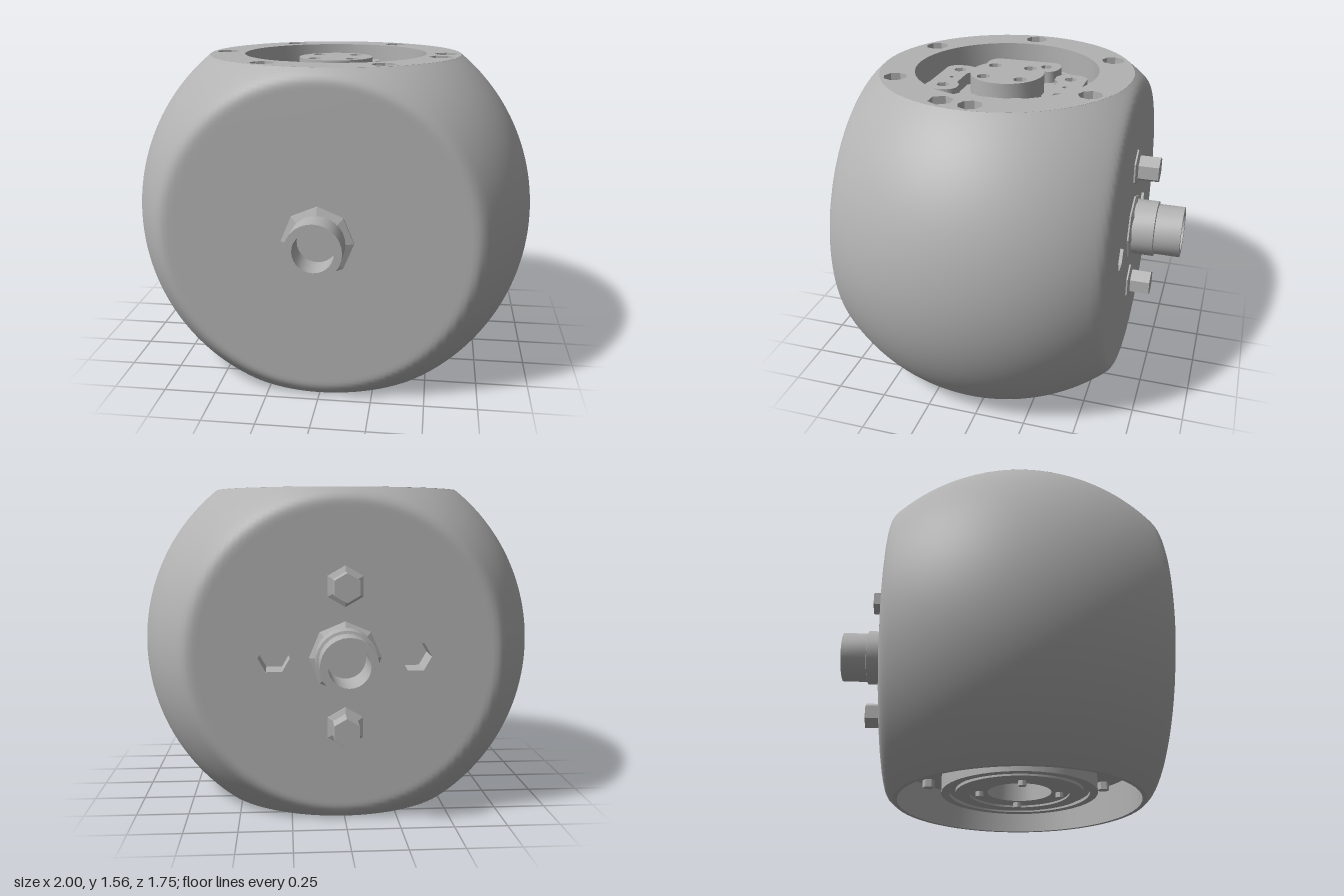
import * as THREE from 'three';
import { toCreasedNormals, mergeVertices } from 'three/addons/utils/BufferGeometryUtils.js';

const metal = new THREE.MeshStandardMaterial({ color: 0xb2b2b2, side: THREE.DoubleSide });
metal.name = 'grey metal';

const TOP = 0.78;    // half height between the top and bottom cuts
const FACE = 0.67;   // half depth between the front and back cuts
const FLOOR = 0.65;  // floor level of the top recess

function part(parent, name, geometry, crease = 0.6) {
  const mesh = new THREE.Mesh(crease ? toCreasedNormals(geometry, crease) : geometry, metal);
  mesh.name = name;
  parent.add(mesh);
  return mesh;
}

const lathe = (profile, sides) =>
  new THREE.LatheGeometry(profile.map(([r, h]) => new THREE.Vector2(r, h)), sides);

// Regular polygon outline; many sides make a circle
function ngon(x, y, r, sides, Type = THREE.Path) {
  const pts = [];
  for (let i = 0; i < sides; i++) {
    const a = (i / sides) * Math.PI * 2;
    pts.push(new THREE.Vector2(x + r * Math.cos(a), y + r * Math.sin(a)));
  }
  return new Type(pts);
}

// Upright extrusion from level y0 to y1 (shape y becomes -z)
function slab(shape, y0, y1) {
  const g = new THREE.ExtrudeGeometry(shape, { depth: y1 - y0, bevelEnabled: false, curveSegments: 8 });
  return g.rotateX(-Math.PI / 2).translate(0, y0, 0);
}

// Ball cut flat on four sides, with softly rounded front and back edges
function bodyGeometry() {
  const rows = 72, limit = Math.asin(TOP), profile = [];
  for (let i = 0; i <= rows; i++) {
    const a = -limit + (2 * limit * i) / rows;
    profile.push([Math.cos(a), Math.sin(a)]);
  }
  let g = lathe(profile, 180);
  g.deleteAttribute('uv');
  g.deleteAttribute('normal');
  g = mergeVertices(g);
  const p = g.attributes.position, k = 0.035;
  for (let i = 0; i < p.count; i++) {
    const z = p.getZ(i), d = Math.abs(z) - FACE;
    const soft = d > k ? FACE : d < -k ? FACE + d : FACE - ((k - d) ** 2) / (4 * k);
    p.setZ(i, Math.sign(z) * soft);
  }
  // Leave the middle of the back open for the drilled plate
  const index = g.index.array, keep = [];
  for (let i = 0; i < index.length; i += 3) {
    const tri = [index[i], index[i + 1], index[i + 2]];
    const inside = tri.every(v => p.getZ(v) < -FACE + 0.001 && Math.hypot(p.getX(v), p.getY(v)) < 0.66);
    if (!inside) keep.push(...tri);
  }
  g.setIndex(keep);
  g.computeVertexNormals();
  return g;
}

// Bridge-shaped pad with three holes, centred on its length
function padShape() {
  const s = new THREE.Shape();
  s.moveTo(-0.15, 0.375);
  s.lineTo(0.15, 0.375);
  s.quadraticCurveTo(0.2, 0.365, 0.2, 0.3);
  s.quadraticCurveTo(0.2, 0.225, 0.15, 0.215);
  s.lineTo(0.11, 0.215);
  s.lineTo(0.07, 0.24);
  s.lineTo(-0.07, 0.24);
  s.lineTo(-0.11, 0.215);
  s.lineTo(-0.15, 0.215);
  s.quadraticCurveTo(-0.2, 0.225, -0.2, 0.3);
  s.quadraticCurveTo(-0.2, 0.365, -0.15, 0.375);
  s.holes.push(ngon(-0.125, 0.295, 0.033, 6), ngon(0.125, 0.295, 0.033, 6), ngon(0, 0.295, 0.016, 4));
  return s;
}

function buildTop(parent) {
  const top = new THREE.Group();
  top.name = 'topSocket';
  parent.add(top);

  // Mounting ring with bolt holes and one hexagonal hole
  const ring = ngon(0, 0, 0.627, 60, THREE.Shape);
  ring.holes.push(ngon(0, 0, 0.455, 48), ngon(0.53, -0.145, 0.06, 6));
  for (let i = 0; i < 6; i++) {
    const a = (i * Math.PI) / 3, x = 0.553 * Math.cos(a), z = 0.553 * Math.sin(a);
    ring.holes.push(ngon(x, z, 0.058, 8));
    part(top, 'ringBolt', new THREE.CylinderGeometry(0.032, 0.032, 0.05, 6)).position.set(x, FLOOR + 0.025, z);
  }
  part(top, 'mountingRing', slab(ring, FLOOR, TOP));

  // Recess floor with raised rings
  part(top, 'recessFloor', lathe([[0, FLOOR], [0.385, FLOOR], [0.385, FLOOR + 0.02], [0.41, FLOOR + 0.02],
    [0.41, FLOOR], [0.625, FLOOR]], 48));

  // Centre hub with four screw holes
  const hub = ngon(0, 0, 0.184, 32, THREE.Shape);
  for (const sx of [-1, 1]) for (const sz of [-1, 1]) {
    hub.holes.push(ngon(sx * 0.093, sz * 0.093, 0.034, 8));
    part(top, 'hubScrew', new THREE.CylinderGeometry(0.018, 0.018, 0.09, 6))
      .position.set(sx * 0.093, FLOOR + 0.045, sz * 0.093);
  }
  part(top, 'centreHub', slab(hub, FLOOR, 0.76));

  // Four pads around the hub
  for (let i = 0; i < 4; i++) {
    part(top, 'contactPad', slab(padShape(), FLOOR, FLOOR + 0.06)).rotation.y = (i * Math.PI) / 2;
  }
}

function buildBottom(parent) {
  const bottom = new THREE.Group();
  bottom.name = 'bottomSocket';
  parent.add(bottom);
  // Deep cup with a bored, grooved boss in the middle
  part(bottom, 'cupAndBoss', lathe([[0.627, -0.78], [0.605, -0.78], [0.605, -0.59], [0.39, -0.59],
    [0.39, -0.735], [0.35, -0.735], [0.35, -0.72], [0.32, -0.72], [0.32, -0.735], [0.25, -0.735],
    [0.25, -0.725], [0.16, -0.725], [0.16, -0.5], [0, -0.5]], 60));
  for (let i = 0; i < 4; i++) {
    const a = (i * Math.PI) / 2;
    part(bottom, 'bossPin', new THREE.CylinderGeometry(0.02, 0.02, 0.03, 8))
      .position.set(0.2 * Math.cos(a), -0.735, 0.2 * Math.sin(a));
  }
  for (let i = 0; i < 6; i++) {
    const a = (i * Math.PI) / 3;
    part(bottom, 'cupBolt', new THREE.CylinderGeometry(0.032, 0.032, 0.04, 6))
      .position.set(0.54 * Math.cos(a), -0.61, 0.54 * Math.sin(a));
  }
}

function buildFrontAndBack(parent) {
  const quarter = Math.PI / 2;
  // Front nozzle
  part(parent, 'frontCollar', lathe([[0.168, 0.66], [0.168, 0.68], [0.125, 0.695]], 8).rotateX(quarter), 0.2);
  part(parent, 'frontNozzle', lathe([[0.13, 0.66], [0.13, 0.815], [0.094, 0.815], [0.094, 0.675], [0, 0.675]], 28)
    .rotateX(quarter));

  // Back plate with two hexagonal pockets
  const plate = ngon(0, 0, 0.69, 72, THREE.Shape);
  for (const s of [-1, 1]) {
    plate.holes.push(ngon(s * 0.33, 0, 0.075, 6));
    const pocket = new THREE.CylinderGeometry(0.075, 0.075, 0.15, 6, 1, true).rotateY(quarter).rotateX(quarter);
    part(parent, 'pocketWall', pocket).position.set(s * 0.33, 0, -FACE + 0.073);
    part(parent, 'pocketFloor', new THREE.CircleGeometry(0.075, 6).rotateY(Math.PI))
      .position.set(s * 0.33, 0, -FACE + 0.147);
    // Hexagonal pegs above and below the nozzle
    part(parent, 'pegCollar', lathe([[0.095, 0.66], [0.095, 0.68], [0.065, 0.69]], 6).rotateX(-quarter), 0.2)
      .position.y = s * 0.33;
    part(parent, 'backPeg', new THREE.CylinderGeometry(0.067, 0.067, 0.13, 6).rotateX(quarter))
      .position.set(0, s * 0.33, -0.725);
  }
  part(parent, 'backPlate', new THREE.ShapeGeometry(plate).rotateY(Math.PI)).position.z = -FACE - 0.002;

  // Stepped back nozzle
  part(parent, 'backCollar', lathe([[0.168, 0.66], [0.168, 0.68], [0.138, 0.695]], 8).rotateX(-quarter), 0.2);
  part(parent, 'backNozzle', lathe([[0.142, 0.66], [0.142, 0.797], [0.129, 0.8], [0.129, 0.93], [0.094, 0.93],
    [0.094, 0.7], [0, 0.7]], 28).rotateX(-quarter));
}

export function createModel() {
  const model = new THREE.Group();
  model.name = 'ballJointModule';
  const core = new THREE.Group();
  core.name = 'core';
  core.position.set(0, TOP, 0.055);
  model.add(core);
  part(core, 'ballBody', bodyGeometry(), 0);
  buildTop(core);
  buildBottom(core);
  buildFrontAndBack(core);
  return model;
}
